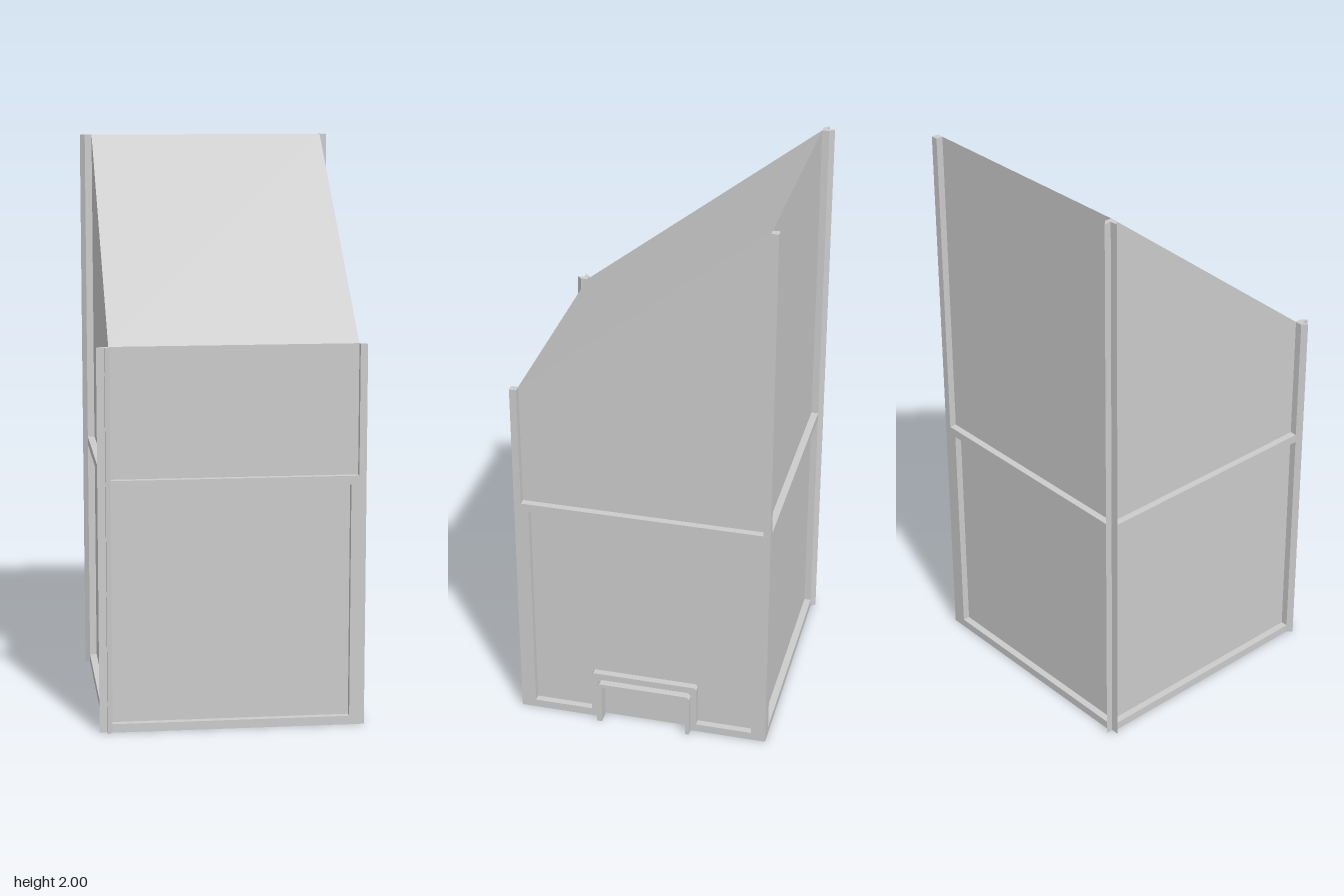
import * as THREE from 'three';

const X0 = -0.43, X1 = 0.418, Z = 0.43; // core walls
const T = 0.025;                        // thickness of the raised framing
const MID = 0.86, FRONT_H = 1.325, BACK_H = 2;

const material = new THREE.MeshStandardMaterial({ color: 0xcccccc, flatShading: true });

function createShape(points) {
  return new THREE.Shape(points.map(([x, y]) => new THREE.Vector2(x, y)));
}

function extrude(shape, depth) {
  return new THREE.ExtrudeGeometry(shape, { depth, bevelEnabled: false });
}

// Chamfered arch line, from its left foot over the top to its right foot
function arch(left, right, top, foot, c = 0.014) {
  return [[left, foot], [left, top - c], [left + c, top], [right - c, top], [right, top - c], [right, foot]];
}

export function createModel() {
  const model = new THREE.Group();

  const add = (name, geometry) => {
    const mesh = new THREE.Mesh(geometry, material);
    mesh.name = name;
    model.add(mesh);
    return mesh;
  };
  const box = (name, x0, x1, y0, y1, z0, z1) => {
    const g = new THREE.BoxGeometry(x1 - x0, y1 - y0, z1 - z0);
    g.translate((x0 + x1) / 2, (y0 + y1) / 2, (z0 + z1) / 2);
    return add(name, g);
  };
  // Side profiles are drawn in (-z, y) and extruded towards +x
  const sidePart = (name, shape, x, depth) => {
    const g = extrude(shape, depth);
    g.rotateY(Math.PI / 2);
    g.translate(x, 0, 0);
    return add(name, g);
  };

  // Closed core with the sloping roof
  sidePart('body', createShape([[-Z, 0], [Z, 0], [Z, BACK_H], [-Z, FRONT_H]]), X0, X1 - X0);

  for (const s of [1, -1]) {
    const end = s > 0 ? 'front' : 'back';
    const height = s > 0 ? FRONT_H : BACK_H;
    const zA = s > 0 ? Z : -Z - T, zB = zA + T;

    // Plain square post
    box(end + 'SquarePost', X1, X1 + T, 0, height, zA, zB);

    // Post with two pointed fins around a notch
    const plan = [[X0, Z], [X0 - T, Z], [-0.472, 0.447], [-0.445, 0.447],
      [-0.445, 0.472], [-0.428, Z + T], [-0.428, Z]];
    const fin = extrude(createShape(plan.map(([x, z]) => [x, -s * z])), height);
    fin.rotateX(-Math.PI / 2);
    add(end + 'FinnedPost', fin);

    // Rails and stile of the lower panel
    box(end + 'BottomRail', X0, X1, 0, 0.03, zA, zB);
    box(end + 'MiddleRail', X0, X1, MID - 0.015, MID + 0.015, zA, zB);
    box(end + 'Stile', X1 - 0.027, X1, 0.03, MID - 0.015, zA, zB);
  }

  // Rails of the plain side
  box('sideBottomRail', X0 - T, X0, 0, 0.03, -Z, Z);
  box('sideMiddleRail', X0 - T, X0, MID - 0.015, MID + 0.015, -Z, Z);

  // Frame of the hatch side, with its rim around the hatch
  const inner = arch(-0.145, 0.165, 0.15, 0, 0.004);
  const frame = createShape([[-Z, 0], ...inner, [Z, 0], [Z, MID + 0.015], [-Z, MID + 0.015]]);
  const panel = createShape([[-0.403, 0.03], ...arch(-0.19, 0.2, 0.19, 0.03, 0.008),
    [0.403, 0.03], [0.403, MID - 0.015], [-0.403, MID - 0.015]]);
  frame.holes.push(new THREE.Path(panel.getPoints()));
  sidePart('hatchSideFrame', frame, X1, T);

  // Hood standing out around the hatch opening
  const hood = createShape([...arch(-0.163, 0.18, 0.165, 0, 0.01), ...inner.slice().reverse()]);
  sidePart('hatchHood', hood, X1 + T, 0.027);

  return model;
}
